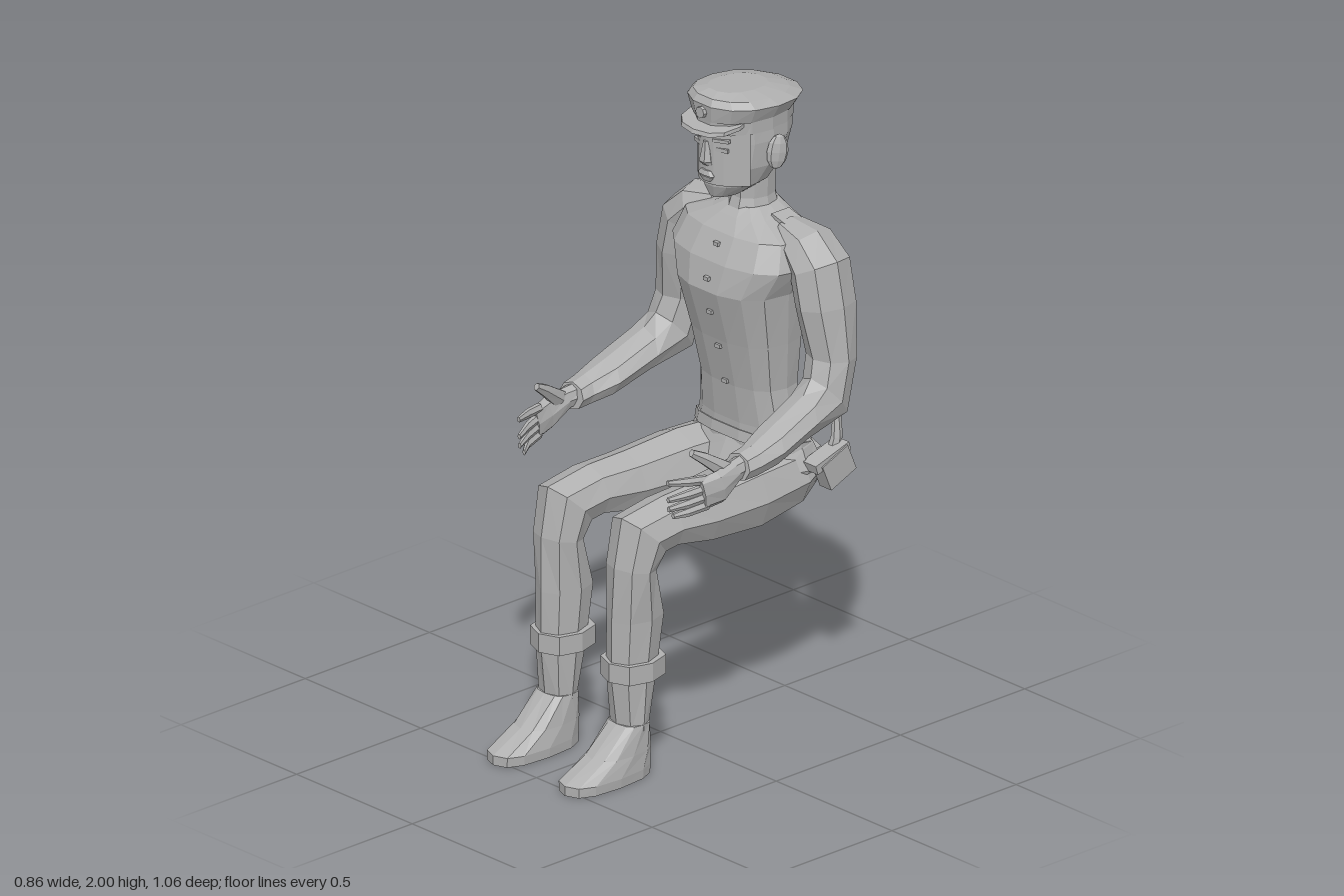
import * as THREE from 'three';

const cloth = new THREE.MeshStandardMaterial({ color: 0xb0b0b0, flatShading: true, side: THREE.DoubleSide });
cloth.name = 'plain grey';

// Closed skin over rings [x, y, z, halfWidth, halfDepth, pitchDeg, rollDeg]
function loft(rings, n = 8, power = 1) {
  const pos = [], idx = [];
  const bend = (c) => Math.sign(c) * Math.pow(Math.abs(c), power);
  rings.forEach(([x, y, z, ru, rv, pitch = 0, roll = 0]) => {
    const t = pitch * Math.PI / 180, r = roll * Math.PI / 180;
    for (let i = 0; i < n; i++) {
      const a = i / n * Math.PI * 2;
      const u = ru * bend(Math.cos(a)), v = rv * bend(Math.sin(a));
      pos.push(x + u * Math.cos(r), y + u * Math.sin(r) + v * Math.sin(t), z + v * Math.cos(t));
    }
  });
  for (let k = 0; k < rings.length - 1; k++) {
    for (let i = 0; i < n; i++) {
      const a = k * n + i, b = k * n + (i + 1) % n;
      idx.push(a, a + n, b, b, a + n, b + n);
    }
  }
  const first = rings[0], last = rings[rings.length - 1], end = (rings.length - 1) * n;
  const c0 = pos.length / 3, c1 = c0 + 1;
  pos.push(...first.slice(0, 3), ...last.slice(0, 3));
  for (let i = 0; i < n; i++) {
    const j = (i + 1) % n;
    idx.push(c0, i, j, c1, end + j, end + i);
  }
  const g = new THREE.BufferGeometry();
  g.setAttribute('position', new THREE.Float32BufferAttribute(pos, 3));
  g.setIndex(idx);
  const flat = g.toNonIndexed();
  flat.computeVertexNormals();
  return flat;
}

// Reflected copy with corner order restored
function mirror(geometry) {
  const g = geometry.index ? geometry.toNonIndexed() : geometry.clone();
  const p = g.attributes.position;
  g.scale(-1, 1, 1);
  const b = new THREE.Vector3(), c = new THREE.Vector3();
  for (let i = 0; i < p.count; i += 3) {
    b.fromBufferAttribute(p, i + 1);
    c.fromBufferAttribute(p, i + 2);
    p.setXYZ(i + 1, c.x, c.y, c.z);
    p.setXYZ(i + 2, b.x, b.y, b.z);
  }
  g.computeVertexNormals();
  return g;
}

// Level ring on the centre line, from front and back z
const ring = (y, front, back, rx) => [0, y, (front + back) / 2, rx, (front - back) / 2];

function box(w, h, d, x, y, z, rx = 0, ry = 0, rz = 0) {
  return new THREE.BoxGeometry(w, h, d).rotateX(rx).rotateY(ry).rotateZ(rz).translate(x, y, z);
}

export function createModel() {
  const model = new THREE.Group();
  model.name = 'seatedFigure';
  const add = (name, geometry) => {
    const mesh = new THREE.Mesh(geometry, cloth);
    mesh.name = name;
    model.add(mesh);
  };
  const pair = (name, geometry) => {
    add(name + 'Left', geometry);
    add(name + 'Right', mirror(geometry));
  };

  // Trunk
  add('jacket', loft([
    ring(0.86, -0.265, -0.475, 0.2), ring(0.93, -0.265, -0.465, 0.18), ring(1.05, -0.25, -0.46, 0.165),
    ring(1.2, -0.215, -0.475, 0.18), ring(1.37, -0.165, -0.495, 0.2), ring(1.46, -0.185, -0.5, 0.25),
    ring(1.54, -0.23, -0.485, 0.225), ring(1.58, -0.27, -0.465, 0.12), ring(1.605, -0.3, -0.45, 0.07)], 14, 0.8));
  add('pelvis', loft([
    ring(0.67, -0.3, -0.46, 0.12), ring(0.73, -0.23, -0.515, 0.21), ring(0.8, -0.23, -0.525, 0.235),
    ring(0.86, -0.26, -0.495, 0.21), ring(0.9, -0.28, -0.46, 0.18)], 12, 0.85));
  add('belt', loft([[0, 0.845, -0.375, 0.21, 0.125, 15], [0, 0.88, -0.375, 0.205, 0.12, 15]], 14, 0.85));
  add('neck', loft([ring(1.57, -0.28, -0.46, 0.075), ring(1.63, -0.3, -0.445, 0.062),
    ring(1.72, -0.3, -0.445, 0.065)], 10));
  for (const [y, z] of [[1.06, -0.247], [1.18, -0.219], [1.3, -0.185], [1.41, -0.172], [1.51, -0.212]]) {
    add('button', box(0.02, 0.012, 0.012, 0.015, y, z));
  }
  pair('shoulderStrap', box(0.13, 0.012, 0.07, 0.165, 1.572, -0.385, 0, 0, -0.25));

  // Holster and grip on the left hip
  add('holster', box(0.05, 0.09, 0.11, 0.255, 0.8, -0.46, 0.4));
  add('holsterFlap', box(0.06, 0.03, 0.14, 0.245, 0.835, -0.44, 0.3));
  add('grip', loft([[0.235, 0.82, -0.47, 0.02, 0.025], [0.235, 0.88, -0.49, 0.015, 0.02],
    [0.225, 0.95, -0.5, 0.008, 0.015]], 6));

  // Head
  add('head', loft([
    ring(1.66, -0.205, -0.34, 0.04), ring(1.7, -0.19, -0.42, 0.088), ring(1.76, -0.187, -0.465, 0.115),
    ring(1.84, -0.19, -0.49, 0.125), ring(1.92, -0.185, -0.495, 0.122)], 14));
  const mask = new THREE.PlaneGeometry(0.22, 0.19, 8, 4);
  const mp = mask.attributes.position;
  for (let i = 0; i < mp.count; i++) {
    mp.setXYZ(i, mp.getX(i), mp.getY(i) + 1.805, -0.182 - 0.078 * (mp.getX(i) / 0.11) ** 2);
  }
  mask.computeVertexNormals();
  add('face', mask);
  add('nose', loft([[0, 1.768, -0.187, 0.022, 0.01], [0, 1.782, -0.182, 0.022, 0.02],
    [0, 1.845, -0.186, 0.009, 0.012]], 6));
  add('upperLip', loft([[0, 1.737, -0.184, 0.035, 0.012], [0, 1.752, -0.184, 0.02, 0.007]], 8));
  add('lowerLip', loft([[0, 1.718, -0.186, 0.018, 0.008], [0, 1.734, -0.184, 0.032, 0.011]], 8));
  pair('eye', box(0.045, 0.012, 0.008, 0.05, 1.825, -0.199, 0, 0.3));
  pair('brow', box(0.055, 0.01, 0.014, 0.05, 1.855, -0.198, 0, 0.3, 0.08));
  pair('ear', new THREE.SphereGeometry(1, 8, 6).scale(0.015, 0.055, 0.035).rotateY(-0.35)
    .rotateX(-0.15).translate(0.135, 1.805, -0.345));

  // Peaked cap
  add('capBand', loft([ring(1.875, -0.175, -0.497, 0.124), ring(1.92, -0.17, -0.5, 0.126)], 14));
  add('capCrown', loft([
    ring(1.915, -0.17, -0.5, 0.126), [0, 1.958, -0.34, 0.149, 0.178, 3], [0, 1.978, -0.325, 0.125, 0.15, 4],
    [0, 1.993, -0.31, 0.07, 0.1, 4]], 14, 0.9));
  add('capVisor', loft([[0, 1.898, -0.22, 0.105, 0.095, -8], [0, 1.91, -0.22, 0.105, 0.09, -8]], 12, 0.85));
  add('capBadge', new THREE.CylinderGeometry(0.018, 0.018, 0.012, 8).rotateX(Math.PI / 2)
    .translate(0, 1.942, -0.163));

  // Arms, cuff to shoulder
  pair('sleeve', loft([
    [0.36, 0.972, 0.025, 0.053, 0.042, 100], [0.362, 0.978, -0.02, 0.055, 0.047, 100],
    [0.355, 1.0, -0.1, 0.073, 0.057, 102], [0.345, 1.05, -0.24, 0.076, 0.066, 102],
    [0.335, 1.085, -0.35, 0.075, 0.09, 50], [0.325, 1.2, -0.385, 0.076, 0.075, 5],
    [0.3, 1.36, -0.385, 0.08, 0.1, 0, 5], [0.275, 1.47, -0.385, 0.083, 0.1, 0, 25],
    [0.22, 1.525, -0.385, 0.07, 0.09, 0, 50], [0.14, 1.55, -0.385, 0.04, 0.06, 0, 78]]));
  pair('palm', loft([
    [0.36, 0.927, 0.17, 0.018, 0.054, 80], [0.372, 0.938, 0.11, 0.025, 0.055, 75],
    [0.366, 0.968, 0.045, 0.028, 0.036, 75], [0.36, 0.975, 0, 0.035, 0.035, 90]]));
  for (let i = 0; i < 4; i++) {
    const y0 = 0.97 - i * 0.027, tipY = [0.98, 0.925, 0.895, 0.868][i], tipZ = [0.272, 0.27, 0.268, 0.25][i];
    pair('finger', loft([
      [0.322, tipY, tipZ, 0.007, 0.009, 90], [0.345, (tipY + y0) / 2, 0.215, 0.012, 0.015, 90],
      [0.362, y0, 0.15, 0.014, 0.016, 85]], 6));
  }
  pair('thumb', loft([[0.335, 1.057, 0.188, 0.01, 0.012, 120], [0.345, 1.03, 0.145, 0.015, 0.02, 120],
    [0.362, 0.975, 0.07, 0.02, 0.03, 125]], 6));

  // Legs, ankle to hip
  pair('trouserLeg', loft([
    [0.155, 0.15, 0.27, 0.062, 0.05], [0.152, 0.32, 0.26, 0.068, 0.08], [0.153, 0.5, 0.245, 0.074, 0.095],
    [0.158, 0.66, 0.265, 0.08, 0.07, 10], [0.16, 0.755, 0.235, 0.088, 0.1, 45],
    [0.16, 0.77, 0.14, 0.092, 0.08, 88], [0.155, 0.757, 0, 0.1, 0.097, 90],
    [0.145, 0.755, -0.2, 0.11, 0.115, 90], [0.13, 0.765, -0.38, 0.11, 0.1, 90],
    [0.1, 0.775, -0.5, 0.08, 0.065, 90]]));
  pair('bootCuff', loft([[0.152, 0.31, 0.252, 0.085, 0.098], [0.152, 0.37, 0.252, 0.085, 0.098]], 8, 0.85));
  pair('boot', loft([
    [0.155, 0, 0.37, 0.072, 0.16], [0.155, 0.03, 0.37, 0.074, 0.16], [0.155, 0.085, 0.315, 0.068, 0.105],
    [0.155, 0.17, 0.27, 0.062, 0.052]], 12, 0.75));

  return model;
}
